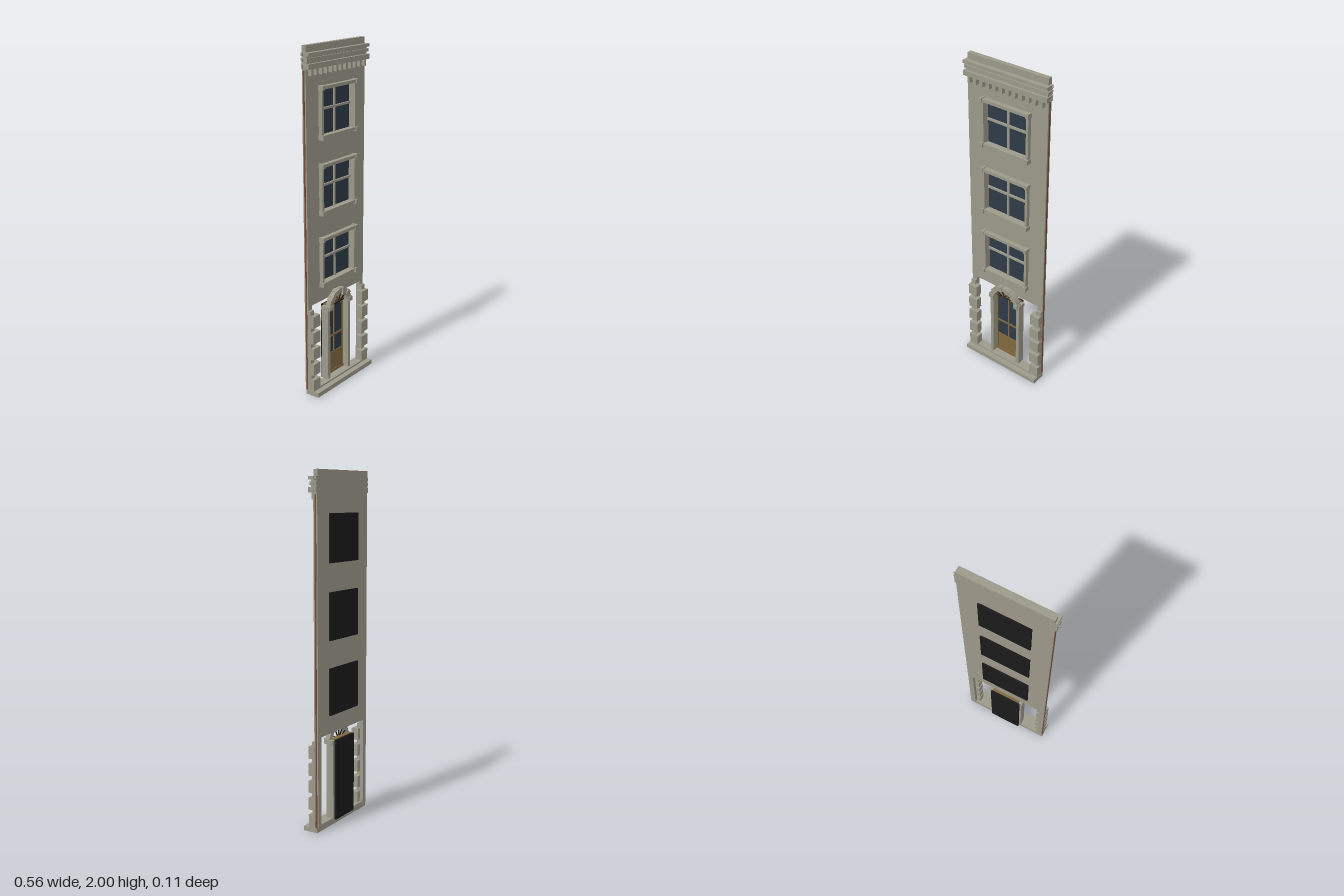
import * as THREE from 'three';

const mat = (name, color) => {
  const m = new THREE.MeshStandardMaterial({ color });
  m.name = name;
  return m;
};

export function createModel() {
  const stone = mat('stone', 0x9c998a);
  const glass = mat('glass', 0x2d3a46);
  const black = mat('black backing', 0x1a1a1a);
  const wood = mat('door wood', 0x80683f);
  const brick = mat('brick edge', 0x7a4a34);

  const model = new THREE.Group();
  model.name = 'townhouseFacade';

  const add = (parent, name, geo, material) => {
    const mesh = new THREE.Mesh(geo, material);
    mesh.name = name;
    parent.add(mesh);
    return mesh;
  };
  // Box given by its limits on each axis
  const box = (parent, name, material, x0, x1, y0, y1, z0, z1) => {
    const m = add(parent, name, new THREE.BoxGeometry(x1 - x0, y1 - y0, z1 - z0), material);
    m.position.set((x0 + x1) / 2, (y0 + y1) / 2, (z0 + z1) / 2);
    return m;
  };
  const group = (name, y = 0) => {
    const g = new THREE.Group();
    g.name = name;
    g.position.y = y;
    model.add(g);
    return g;
  };
  // Box repeated on both sides of x = 0
  const pair = (parent, name, material, x0, x1, ...rest) => {
    box(parent, name, material, x0, x1, ...rest);
    box(parent, name, material, -x1, -x0, ...rest);
  };

  // Wall with legs beside the open ground floor and holes for windows
  const windowHeights = [0.785, 1.208, 1.635];
  const wall = new THREE.Shape();
  [[-0.265, 0.027], [-0.232, 0.027], [-0.232, 0.546], [0.232, 0.546], [0.232, 0.027],
    [0.265, 0.027], [0.265, 1.963], [-0.265, 1.963]]
    .forEach(([x, y], i) => (i ? wall.lineTo(x, y) : wall.moveTo(x, y)));
  for (const y of windowHeights) {
    const hole = new THREE.Path();
    hole.moveTo(-0.143, y - 0.128);
    hole.lineTo(-0.143, y + 0.128);
    hole.lineTo(0.143, y + 0.128);
    hole.lineTo(0.143, y - 0.128);
    wall.holes.push(hole);
  }
  const wallGeo = new THREE.ExtrudeGeometry(wall, { depth: 0.025, bevelEnabled: false });
  add(model, 'wall', wallGeo, stone).position.z = -0.041;
  pair(model, 'brickEdge', brick, 0.2645, 0.2665, 0.027, 1.87, -0.034, -0.024);

  // Plinth
  box(model, 'plinth', stone, -0.268, 0.268, 0, 0.027, -0.035, 0.053);
  box(model, 'plinthStep', stone, -0.266, 0.266, 0.027, 0.037, -0.035, 0.02);

  // Quoins with smaller blocks between them
  const quoins = group('quoins');
  for (let i = 0; i < 5; i++) {
    const y = 0.03 + i * 0.0985;
    pair(quoins, 'quoin', stone, 0.205, 0.267, y, y + 0.07, -0.02, 0.022);
    pair(quoins, 'quoinJoint', stone, 0.232, 0.264, y + 0.07, y + 0.0985, -0.02, 0);
  }

  // Windows
  for (const y of windowHeights) {
    const w = group('window', y);
    box(w, 'glass', glass, -0.143, 0.143, -0.128, 0.128, -0.041, -0.035);
    box(w, 'backing', black, -0.15, 0.15, -0.134, 0.134, -0.051, -0.0412);
    box(w, 'mullion', stone, -0.006, 0.006, -0.128, 0.128, -0.036, -0.026);
    box(w, 'transom', stone, -0.143, 0.143, 0.007, 0.019, -0.036, -0.024);
    pair(w, 'jamb', stone, 0.143, 0.158, -0.128, 0.128, -0.02, 0.007);
    box(w, 'lintel', stone, -0.158, 0.158, 0.125, 0.143, -0.02, 0.012);
    box(w, 'sill', stone, -0.158, 0.158, -0.14, -0.125, -0.02, 0.01);
    pair(w, 'lintelBlock', stone, 0.145, 0.163, 0.122, 0.147, -0.02, 0.018);
    pair(w, 'sillBlock', stone, 0.145, 0.163, -0.148, -0.122, -0.02, 0.018);
  }

  // Cornice, dentils and parapet
  const cornice = group('cornice');
  box(cornice, 'parapet', stone, -0.262, 0.262, 1.963, 2, -0.043, -0.016);
  box(cornice, 'topMoulding', stone, -0.274, 0.274, 1.946, 1.963, -0.04, 0.011);
  box(cornice, 'upperRecess', stone, -0.268, 0.268, 1.935, 1.946, -0.04, -0.006);
  box(cornice, 'middleMoulding', stone, -0.274, 0.274, 1.918, 1.935, -0.04, 0.002);
  box(cornice, 'lowerRecess', stone, -0.268, 0.268, 1.906, 1.918, -0.04, -0.006);
  box(cornice, 'lowerMoulding', stone, -0.274, 0.274, 1.878, 1.906, -0.04, 0.011);
  for (const y of [1.89, 1.925, 1.955])
    box(cornice, 'mouldingFin', stone, -0.28, 0.28, y - 0.008, y + 0.008, -0.028, -0.026);
  for (let i = 0; i < 12; i++) {
    const x = -0.238 + i * 0.0433;
    box(cornice, 'dentil', stone, x - 0.008, x + 0.008, 1.842, 1.878, -0.018, 0.008);
  }

  // Door
  const door = group('door');
  box(door, 'doorGlass', glass, -0.09, 0.09, 0.165, 0.485, -0.045, -0.038);
  box(door, 'doorPanel', wood, -0.09, 0.09, 0.052, 0.17, -0.045, -0.034);
  box(door, 'kickRail', wood, -0.09, 0.09, 0.037, 0.052, -0.045, -0.03);
  box(door, 'doorBacking', black, -0.098, 0.098, 0.03, 0.5, -0.056, -0.0452);
  box(door, 'doorMullion', wood, -0.004, 0.004, 0.17, 0.485, -0.04, -0.033);
  box(door, 'doorRail', wood, -0.088, 0.088, 0.272, 0.282, -0.04, -0.032);
  pair(door, 'doorStile', wood, 0.081, 0.09, 0.037, 0.485, -0.045, -0.032);
  box(door, 'doorHead', black, -0.09, 0.09, 0.476, 0.488, -0.045, -0.025);
  box(door, 'doorTransom', wood, -0.09, 0.09, 0.488, 0.503, -0.045, -0.018);

  // Door surround: pilasters, capitals and an arch of separate stones
  const surround = group('doorSurround');
  pair(surround, 'pilaster', stone, 0.088, 0.109, 0.037, 0.475, -0.042, 0.004);
  pair(surround, 'capital', stone, 0.084, 0.114, 0.473, 0.497, -0.042, 0.012);
  const centre = 0.475, count = 11;
  for (let i = 0; i < count; i++) {
    const a0 = (i / count) * Math.PI, a1 = ((i + 1) / count) * Math.PI;
    const proud = i % 2 === 0;
    const stoneShape = new THREE.Shape();
    stoneShape.absarc(0, 0, proud ? 0.11 : 0.106, a0, a1, false);
    stoneShape.absarc(0, 0, 0.078, a1, a0, true);
    const geo = new THREE.ExtrudeGeometry(stoneShape,
      { depth: proud ? 0.036 : 0.03, bevelEnabled: false, curveSegments: 3 });
    add(surround, 'archStone', geo, stone).position.set(0, centre, -0.016);
  }

  // Fanlight bars
  for (let i = 1; i < 6; i++) {
    const a = (i / 6) * Math.PI;
    const bar = add(surround, 'fanBar', new THREE.BoxGeometry(0.056, 0.004, 0.006), black);
    bar.position.set(Math.cos(a) * 0.054, centre + Math.sin(a) * 0.054, -0.012);
    bar.rotation.z = a;
  }
  const hub = new THREE.TorusGeometry(0.034, 0.003, 4, 12, Math.PI);
  add(surround, 'fanHub', hub, wood).position.set(0, centre, -0.012);

  return model;
}
